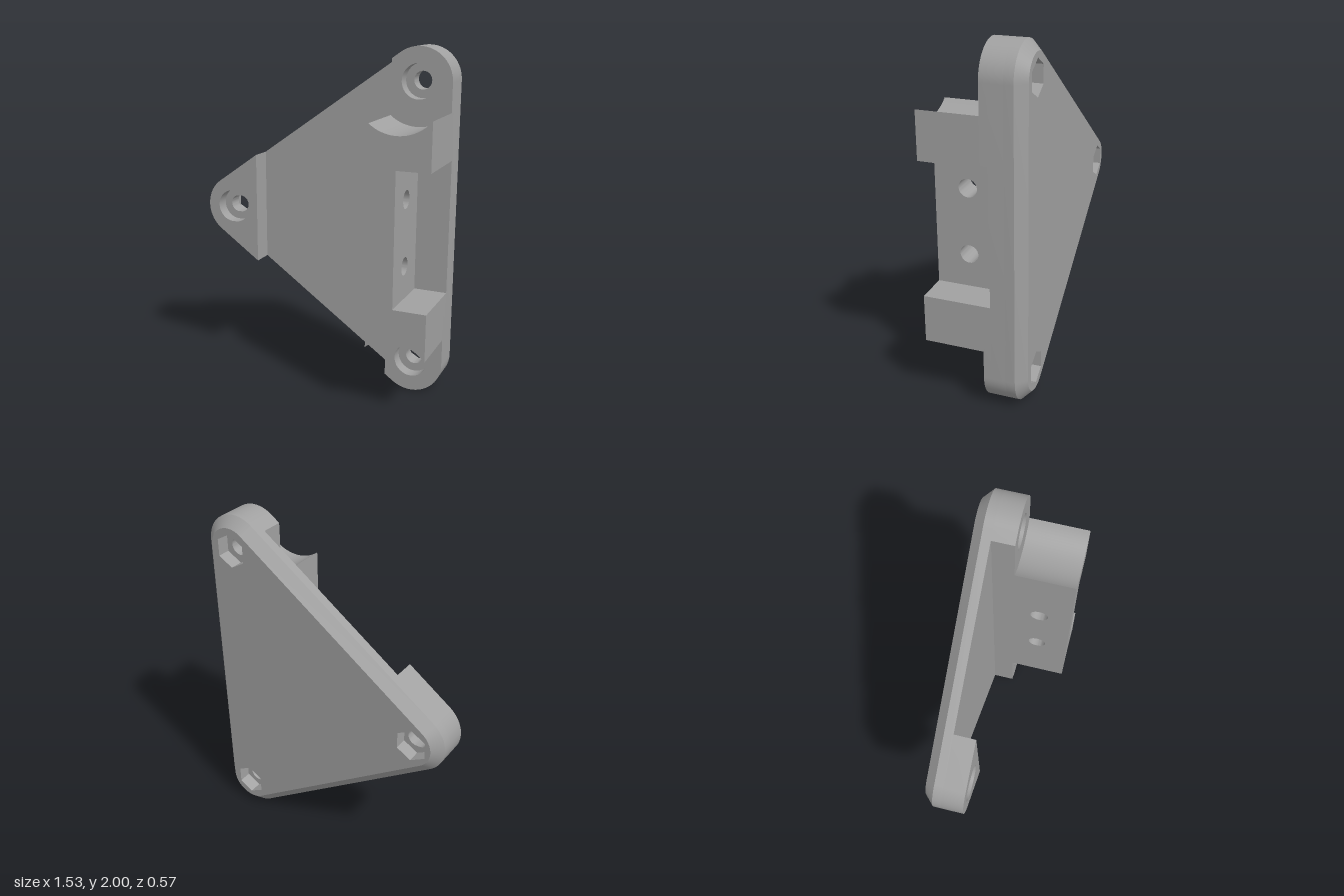
import * as THREE from 'three';
import { mergeGeometries, toCreasedNormals } from 'three/addons/utils/BufferGeometryUtils.js';

const R = 0.1875, CX = 0.5775;                 // corner radius and corner centre
const Z = { back: -0.285, chamfer: -0.23, floor: -0.178, notch: -0.095, pad: -0.053, front: 0.285 };
const PAD_L = -0.43, PAD_R = 0.42, EDGE = CX + R;
const NOTCH = [[EDGE, 0.62], [0.575, 0.62], [0.575, 1.385], [EDGE, 1.385]];

const rad = d => d * Math.PI / 180;
const mirrorY = pts => pts.map(([x, y]) => [x, 2 - y]).reverse();

function arc(cx, cy, r, a0, a1, n) {
  return Array.from({ length: n + 1 }, (_, i) => {
    const a = a0 + (a1 - a0) * i / n;
    return [cx + r * Math.cos(a), cy + r * Math.sin(a)];
  });
}

// Closed loop; stretch pulls the two halves apart into a slot
function loop(cx, cy, r, n = 40, start = Math.PI / n, stretch = 0) {
  return arc(cx, cy, r, start, start + 2 * Math.PI, n).slice(0, n)
    .map(([x, y]) => [x + Math.sign(x - cx) * stretch, y]);
}

// Rounded triangle, counter-clockwise, with an optional notch in its straight edge
function triangle(r, notch = []) {
  const t = Math.PI / 2 + Math.atan2(1 - R, 2 * CX);
  return [
    ...arc(CX, R, r, -t, 0, 24), ...notch,
    ...arc(CX, 2 - R, r, 0, t, 24),
    ...arc(-CX, 1, r, t, 2 * Math.PI - t, 24),
  ];
}

// Keep the part of a polygon on one side of a vertical line
function clip(pts, c, side) {
  const out = [];
  pts.forEach((p, i) => {
    const q = pts[(i + 1) % pts.length];
    const a = (p[0] - c) * side, b = (q[0] - c) * side;
    if (a >= 0) out.push(p);
    if (a * b < 0) out.push([c, p[1] + (q[1] - p[1]) * a / (a - b)]);
  });
  return out;
}

// Side wall between two matching outlines, facing right of travel
function wall(low, z0, z1, high = low, closed = true) {
  const pos = [], n = low.length;
  for (let i = 0; i < (closed ? n : n - 1); i++) {
    const j = (i + 1) % n;
    const a = [...low[i], z0], b = [...low[j], z0], c = [...high[j], z1], d = [...high[i], z1];
    pos.push(...a, ...b, ...c, ...a, ...c, ...d);
  }
  return new THREE.BufferGeometry().setAttribute('position', new THREE.Float32BufferAttribute(pos, 3));
}

// Flat face with holes, looking forward or backward
function cap(outline, z, holes = [], forward = true) {
  const v = pts => pts.map(p => new THREE.Vector2(...p));
  const shape = new THREE.Shape(v(outline));
  shape.holes = holes.map(h => new THREE.Path(v(h)));
  const geo = new THREE.ShapeGeometry(shape);
  if (!forward) geo.setIndex(Array.from(geo.index.array).reverse());
  const flat = geo.toNonIndexed().translate(0, 0, z);
  flat.deleteAttribute('uv');
  flat.deleteAttribute('normal');
  return flat;
}

export function createModel() {
  const group = new THREE.Group();
  const grey = new THREE.MeshStandardMaterial({ color: 0xa0a0a0 });
  grey.name = 'grey';
  const add = (name, parts) => {
    const mesh = new THREE.Mesh(toCreasedNormals(mergeGeometries(parts), 0.5), grey);
    mesh.name = name;
    group.add(mesh);
  };

  // Screw positions with their counterbores, bores and hex nut pockets
  const screws = [[CX, R, 0], [CX, 2 - R, 0], [-0.59, 1, 0.008]].map(([x, y, s]) => ({
    bore: loop(x, y, 0.051, 40, Math.PI / 40, s),
    sink: loop(x, y, 0.098, 40, Math.PI / 40, s),
    hex: loop(x, y, 0.098, 6, rad(90)),
  }));
  const zHex = -0.21, zSink = -0.128;
  screws.forEach(({ bore, sink, hex }, i) => {
    const inward = pts => [...pts].reverse();
    add('screwHole' + (i + 1), [
      wall(inward(sink), zSink, Z.pad),
      cap(sink, zSink, [bore]),
      wall(inward(bore), zHex, zSink),
      cap(hex, zHex, [bore], false),
      wall(inward(hex), Z.back, zHex),
    ]);
  });

  // Back plate with chamfered rear rim
  const full = triangle(R), inset = triangle(R - 0.057);
  add('backPlate', [
    cap(inset, Z.back, screws.map(s => s.hex), false),
    wall(inset, Z.back, Z.chamfer, full),
    wall(full, Z.chamfer, Z.floor),
    cap(clip(clip(full, PAD_L, 1), PAD_R, -1), Z.floor),
  ]);

  // Raised pad at the single corner
  const tip = clip(full, PAD_L, -1);
  add('tipPad', [wall(tip, Z.floor, Z.pad), cap(tip, Z.pad, [screws[2].sink])]);

  // Raised strip along the straight edge, ends open around the screws
  const strip = clip(full, PAD_R, 1);
  const cutR = 0.247;
  const lowArc = arc(CX, R, cutR, Math.acos((PAD_R - CX) / cutR), Math.acos(R / cutR), 24);
  const highArc = mirrorY(lowArc);
  const low = strip.filter(p => p[1] < 0.4);
  const endPad = [...low.slice(0, -1), ...[...lowArc].reverse(), low[low.length - 1]];
  add('edgePad', [
    wall(strip, Z.floor, Z.notch),
    wall(clip(triangle(R, NOTCH), PAD_R, 1), Z.notch, Z.pad),
    cap(NOTCH, Z.notch),
    cap(endPad, Z.pad, [screws[0].sink]),
    cap(mirrorY(endPad), Z.pad, [screws[1].sink]),
  ]);

  // Mounting block with scooped ends, a notch and two cross holes
  const holeZ = 0.098, holeYs = [0.812, 1.192], holeR = 0.052;
  const sideFace = (x, y0, y1, s) => cap(
    [[-s * Z.pad, y0], [-s * Z.front, y0], [-s * Z.front, y1], [-s * Z.pad, y1]], 0,
    holeYs.map(y => loop(-s * holeZ, y, holeR))
  ).rotateY(s * Math.PI / 2).translate(x, 0, 0);
  add('mountingBlock', [
    wall([...lowArc, NOTCH[0], NOTCH[1]], Z.pad, Z.front, undefined, false),
    wall([NOTCH[2], NOTCH[3], ...highArc], Z.pad, Z.front, undefined, false),
    cap([...lowArc, ...NOTCH, ...highArc], Z.front),
    sideFace(PAD_R, lowArc[0][1], 2 - lowArc[0][1], -1),
    sideFace(NOTCH[1][0], NOTCH[1][1], NOTCH[2][1], 1),
    ...holeYs.map(y => wall(loop(-holeZ, y, holeR).reverse(), PAD_R, NOTCH[1][0]).rotateY(Math.PI / 2)),
  ]);

  return group;
}
